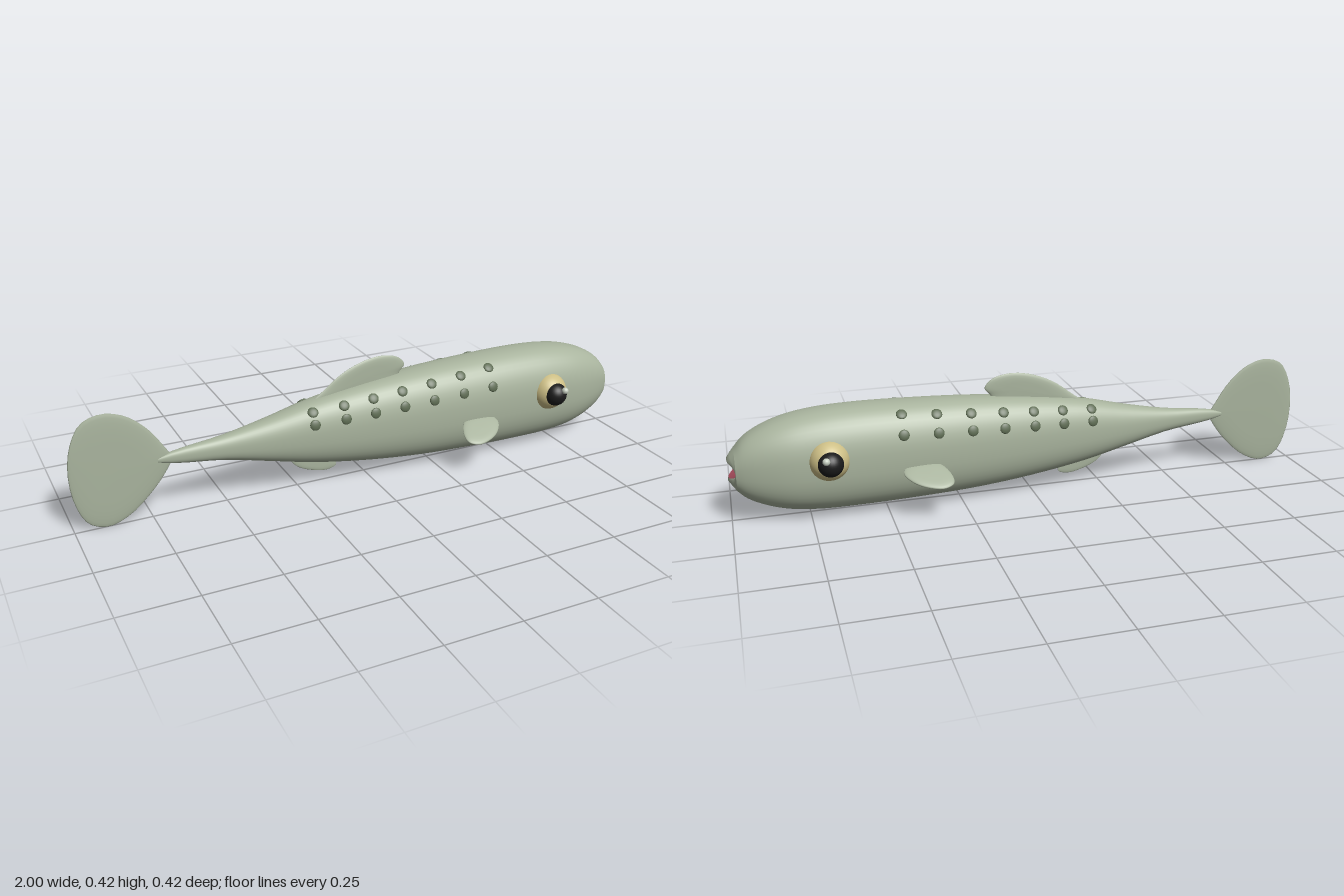
import * as THREE from 'three';

const mat = (name, color, side = THREE.FrontSide) => {
  const m = new THREE.MeshStandardMaterial({ color, side });
  m.name = name;
  return m;
};

// Body sections: x, top, bottom, half width
const SECTIONS = [
  [-0.72, 0.208, 0.192, 0.007], [-0.68, 0.219, 0.182, 0.013], [-0.5, 0.241, 0.157, 0.032],
  [-0.35, 0.27, 0.122, 0.053], [-0.2, 0.305, 0.087, 0.074], [0, 0.334, 0.055, 0.095],
  [0.2, 0.352, 0.035, 0.11], [0.4, 0.361, 0.026, 0.119], [0.6, 0.364, 0.022, 0.123],
  [0.72, 0.358, 0.024, 0.122], [0.82, 0.341, 0.036, 0.114], [0.9, 0.312, 0.061, 0.095],
  [0.95, 0.28, 0.088, 0.076], [0.975, 0.252, 0.112, 0.063],
];
const sections = new THREE.CubicInterpolant(
  SECTIONS.map((s) => s[0]), SECTIONS.flatMap((s) => s.slice(1)), 3);
const SIDES = 48;

const power = (v, p) => Math.sign(v) * Math.abs(v) ** p;

// Point on the rounded-box cross-section of the body
function bodyPoint(x, angle) {
  const [top, bottom, half] = sections.evaluate(x);
  return new THREE.Vector3(x,
    (top + bottom) / 2 + (top - bottom) / 2 * power(Math.sin(angle), 0.84),
    half * power(Math.cos(angle), 0.84));
}

// Smooth closed-loop skin through rings of points
function skin(rings) {
  const n = rings[0].length, index = [];
  for (let i = 0; i < rings.length - 1; i++) {
    for (let j = 0; j < n; j++) {
      const a = i * n + j, b = i * n + (j + 1) % n;
      index.push(a, a + n, b, b, a + n, b + n);
    }
  }
  const geo = new THREE.BufferGeometry().setFromPoints(rings.flat());
  geo.setIndex(index);
  geo.computeVertexNormals();
  return geo;
}

const loop = (fn) => Array.from({ length: SIDES }, (_, j) => fn(j / SIDES * Math.PI * 2));

// Elliptical mouth ring, swept back towards the corners
const mouthRing = (x, sweep, halfH, halfW) => loop((a) => new THREE.Vector3(
  x - sweep * Math.cos(a) ** 2, 0.184 + halfH * Math.sin(a), halfW * Math.cos(a)));

// Thin lens-like fin from a counter-clockwise outline
function finGeometry(outline, halfThick) {
  const curve = new THREE.CatmullRomCurve3(
    outline.map(([x, y]) => new THREE.Vector3(x, y, 0)), true);
  const edge = curve.getPoints(40).slice(0, -1);
  const center = edge.reduce((s, p) => s.add(p), new THREE.Vector3()).divideScalar(edge.length);
  const rings = [];
  for (let k = 0; k <= 12; k++) {
    const phi = k / 12 * Math.PI;
    const s = Math.sqrt(Math.max(0, Math.sin(phi)));
    rings.push(edge.map((p) => {
      const q = center.clone().lerp(p, s);
      q.z = halfThick * Math.cos(phi);
      return q;
    }));
  }
  return skin(rings);
}

export function createModel() {
  const model = new THREE.Group();
  model.name = 'fish';
  const skinMat = mat('sage skin', 0xa9b49e);
  const spotMat = mat('dark green spots', 0x5c6a51);
  const eyeMat = mat('straw eye', 0xcdbf86);
  const pupilMat = mat('black pupil', 0x1b1b1b);
  const glintMat = mat('pale glint', 0xc6cec0);
  const mouthMat = mat('mouth red', 0x9c4756, THREE.DoubleSide);

  const add = (name, geo, material, parent = model) => {
    const mesh = new THREE.Mesh(geo, material);
    mesh.name = name;
    parent.add(mesh);
    return mesh;
  };

  // Body, closed at the tail and rolled into the lips at the head
  const bodyRings = [loop(() => new THREE.Vector3(-0.725, 0.2, 0))];
  for (let i = 0; i <= 60; i++) {
    const x = -0.72 + 1.695 * Math.sin(i / 60 * Math.PI / 2);
    bodyRings.push(loop((a) => bodyPoint(x, a)));
  }
  const rim = mouthRing(0.998, 0.028, 0.026, 0.054);
  bodyRings.push(mouthRing(0.99, 0.014, 0.052, 0.061), mouthRing(1, 0.024, 0.036, 0.058), rim);
  add('body', skin(bodyRings), skinMat);

  // Mouth cavity
  add('mouth', skin([rim, mouthRing(0.975, 0.015, 0.023, 0.048),
    mouthRing(0.96, 0.006, 0.014, 0.03), mouthRing(0.956, 0, 0, 0)]), mouthMat);

  // Fins on the centre line
  add('tailFin', finGeometry([
    [-0.675, 0.2], [-0.7, 0.25], [-0.745, 0.315], [-0.81, 0.37], [-0.88, 0.39], [-0.945, 0.37],
    [-0.985, 0.3], [-1, 0.2], [-0.985, 0.09], [-0.95, 0.025], [-0.89, 0.004], [-0.82, 0.03],
    [-0.75, 0.09], [-0.7, 0.15]], 0.007), skinMat);
  add('dorsalFin', finGeometry([
    [-0.19, 0.295], [0, 0.28], [0.12, 0.315], [0.135, 0.35], [0.155, 0.375], [0.13, 0.405],
    [0.07, 0.42], [0, 0.412], [-0.08, 0.38], [-0.15, 0.33]], 0.008), skinMat);
  add('bellyFin', finGeometry([
    [-0.27, 0.105], [-0.25, 0.075], [-0.2, 0.05], [-0.14, 0.038], [-0.105, 0.05],
    [-0.12, 0.085], [-0.19, 0.12]], 0.004), skinMat);

  // Side fins: x along the body, y outward before tilting down
  const sideFinGeo = finGeometry([
    [0.34, -0.005], [0.4, -0.015], [0.45, 0.002], [0.458, 0.03], [0.43, 0.073], [0.385, 0.1],
    [0.34, 0.108], [0.307, 0.09], [0.308, 0.045]], 0.008);
  const ball = new THREE.SphereGeometry(1, 32, 20);

  for (const [label, side] of [['left', 1], ['right', -1]]) {
    const fin = add(label + 'SideFin', sideFinGeo, skinMat);
    fin.position.set(0, 0.168, side * 0.112);
    fin.rotation.x = side * THREE.MathUtils.degToRad(115);

    // Eye
    const eye = new THREE.Group();
    eye.name = label + 'Eye';
    model.add(eye);
    const parts = [
      ['eyeball', eyeMat, 0.688, 0.218, 0.1, 0.066],
      ['pupil', pupilMat, 0.688, 0.221, 0.146, 0.041],
      ['glint', glintMat, 0.704, 0.243, 0.18, 0.012],
    ];
    for (const [name, material, x, y, z, r] of parts) {
      const mesh = add(name, ball, material, eye);
      mesh.position.set(x, y, side * z);
      mesh.scale.setScalar(r);
    }

    // Two rows of spots lying on the flank
    const spots = new THREE.Group();
    spots.name = label + 'Spots';
    model.add(spots);
    [-0.207, -0.1, 0.004, 0.11, 0.22, 0.334, 0.448].forEach((x, i) => {
      for (const y of [0.246 + i * 0.0055, 0.284 + i * 0.009]) {
        // Find the angle where the flank reaches height y
        const [top, bottom] = sections.evaluate(x);
        const rise = (y - (top + bottom) / 2) / ((top - bottom) / 2);
        const a = Math.asin(Math.min(0.98, rise ** (1 / 0.84)));
        const p = bodyPoint(x, a);
        const du = bodyPoint(x + 0.01, a).sub(p);
        const dv = bodyPoint(x, a + 0.02).sub(p);
        const normal = du.cross(dv).normalize();
        p.z *= side;
        normal.z *= side;
        const spot = add('spot', ball, spotMat, spots);
        spot.position.copy(p);
        spot.quaternion.setFromUnitVectors(new THREE.Vector3(0, 0, 1), normal);
        spot.scale.set(0.018, 0.018, 0.006);
      }
    });
  }
  return model;
}
